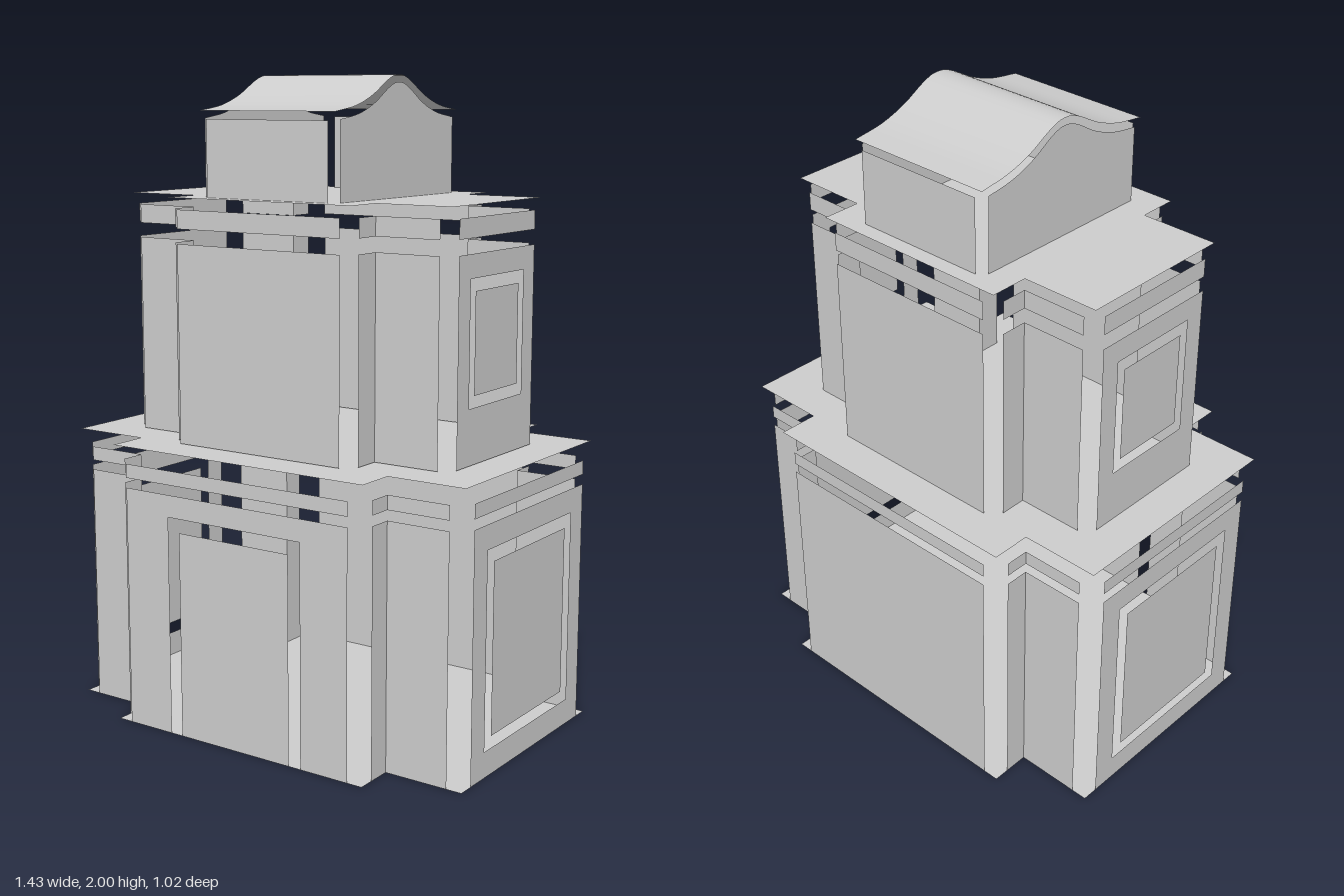
import * as THREE from 'three';

const material = new THREE.MeshStandardMaterial({ color: 0xcccccc, side: THREE.DoubleSide });

function addMesh(parent, name, geometry) {
  const mesh = new THREE.Mesh(geometry, material);
  mesh.name = name;
  parent.add(mesh);
  return mesh;
}

// Closed shape from [x, y] points
const shapeOf = (points) => new THREE.Shape(points.map(([x, y]) => new THREE.Vector2(x, y)));
const rectangle = (a0, a1, y0, y1) => shapeOf([[a0, y0], [a1, y0], [a1, y1], [a0, y1]]);

// Upright panel facing +z or -z (side = 1 or -1)
function panelZ(parent, name, shape, z, side) {
  const mesh = addMesh(parent, name, new THREE.ShapeGeometry(shape));
  mesh.rotation.y = side > 0 ? 0 : Math.PI;
  mesh.position.z = z * side;
}

// Upright panel facing +x or -x
function panelX(parent, name, shape, x, side) {
  const mesh = addMesh(parent, name, new THREE.ShapeGeometry(shape));
  mesh.rotation.y = side * Math.PI / 2;
  mesh.position.x = x * side;
}

// Horizontal cross-shaped slab surface: wings wx by wz, block bx by bz
function crossPlate(parent, name, { wx, wz, bx, bz }, y) {
  const quarter = [[wx, wz], [bx, wz], [bx, bz]];
  const flipped = [...quarter].reverse();
  const points = [
    ...quarter,
    ...flipped.map(([x, z]) => [-x, z]),
    ...quarter.map(([x, z]) => [-x, -z]),
    ...flipped.map(([x, z]) => [x, -z]),
  ];
  const geometry = new THREE.ShapeGeometry(shapeOf(points));
  geometry.rotateX(-Math.PI / 2);
  addMesh(parent, name, geometry).position.y = y;
}

// One ring of panels on the cross plan, open by the inset at every outer corner
function wallRing(parent, label, { wx, wz, bx, bz, inset }, y0, y1, { door, window } = {}) {
  const faceHalf = bx - inset;
  const endHalf = wz - inset;
  for (const side of [1, -1]) {
    let face = rectangle(-faceHalf, faceHalf, y0, y1);
    if (side > 0 && door) {
      // Doorway cut through to the ground
      const [w, top] = door;
      face = shapeOf([
        [-faceHalf, y0], [-w, y0], [-w, top], [w, top], [w, y0],
        [faceHalf, y0], [faceHalf, y1], [-faceHalf, y1],
      ]);
    }
    panelZ(parent, label + (side > 0 ? 'Front' : 'Back'), face, bz, side);

    const end = rectangle(-endHalf, endHalf, y0, y1);
    if (window) {
      const [w, low, high] = window;
      end.holes.push(rectangle(-w, w, low, high));
    }
    panelX(parent, label + (side > 0 ? 'LeftEnd' : 'RightEnd'), end, wx, side);

    for (const half of [1, -1]) {
      const [a0, a1] = half > 0 ? [bx, wx - inset] : [inset - wx, -bx];
      panelZ(parent, label + 'WingFace', rectangle(a0, a1, y0, y1), wz, side);
      const [b0, b1] = half > 0 ? [wz, bz - inset] : [inset - bz, -wz];
      panelX(parent, label + 'BlockReturn', rectangle(b0, b1, y0, y1), bx, side);
    }
  }
}

export function createModel() {
  const model = new THREE.Group();
  model.name = 'tower';

  // Lower storey
  const lower = new THREE.Group();
  lower.name = 'lowerStorey';
  model.add(lower);
  const lowerPlan = { wx: 0.715, wz: 0.383, bx: 0.46, bz: 0.51, inset: 0.05 };
  crossPlate(lower, 'floor', lowerPlan, 0);
  wallRing(lower, 'wall', lowerPlan, 0, 0.757, { door: [0.245, 0.688], window: [0.256, 0.08, 0.682] });
  wallRing(lower, 'cornice', lowerPlan, 0.788, 0.832);
  crossPlate(lower, 'ledge', lowerPlan, 0.885);
  panelZ(lower, 'door', rectangle(-0.203, 0.203, 0, 0.645), lowerPlan.bz, 1);

  // Upper storey
  const upper = new THREE.Group();
  upper.name = 'upperStorey';
  model.add(upper);
  const upperPlan = { wx: 0.588, wz: 0.26, bx: 0.335, bz: 0.385, inset: 0.039 };
  wallRing(upper, 'wall', upperPlan, 0.887, 1.5, { window: [0.155, 1.055, 1.43] });
  wallRing(upper, 'cornice', upperPlan, 1.545, 1.603);
  crossPlate(upper, 'ledge', upperPlan, 1.638);

  // Window panes in both ends
  for (const side of [1, -1]) {
    panelX(lower, 'windowPane', rectangle(-0.218, 0.218, 0.117, 0.642), lowerPlan.wx, side);
    panelX(upper, 'windowPane', rectangle(-0.126, 0.126, 1.09, 1.393), upperPlan.wx, side);
  }

  // Lantern: end walls and curved gables
  const lantern = new THREE.Group();
  lantern.name = 'lantern';
  model.add(lantern);
  const half = [[0.308, 1.873], [0.21, 1.889], [0.13, 1.919], [0.06, 1.96], [0.025, 1.975]];
  const curve = new THREE.CatmullRomCurve3([
    ...half.map(([z, y]) => new THREE.Vector3(0, y, -z)),
    new THREE.Vector3(0, 1.978, 0),
    ...[...half].reverse().map(([z, y]) => new THREE.Vector3(0, y, z)),
  ]);
  const gable = curve.getPoints(40).map((p) => [p.z, p.y]);
  for (const side of [1, -1]) {
    panelZ(lantern, 'lanternWall', rectangle(-0.22, 0.22, 1.638, 1.87), 0.333, side);
    panelX(lantern, 'gable', shapeOf([[0.308, 1.638], [-0.308, 1.638], ...gable]), 0.245, side);
  }

  // Curved roof sheet floating just above the gables
  const roof = new THREE.PlaneGeometry(0.49, 1, 1, 40);
  const position = roof.attributes.position;
  for (let i = 0; i < position.count; i++) {
    const point = curve.getPoint(0.5 - position.getY(i));
    position.setXYZ(i, position.getX(i), point.y + 0.022, point.z * -1.082);
  }
  // Face the sheet upward
  for (let i = 0; i < position.count; i++) position.setZ(i, -position.getZ(i));
  roof.computeVertexNormals();
  if (roof.attributes.normal.getY(0) < 0) {
    roof.index.array.reverse();
    roof.computeVertexNormals();
  }
  addMesh(lantern, 'roof', roof);

  return model;
}
